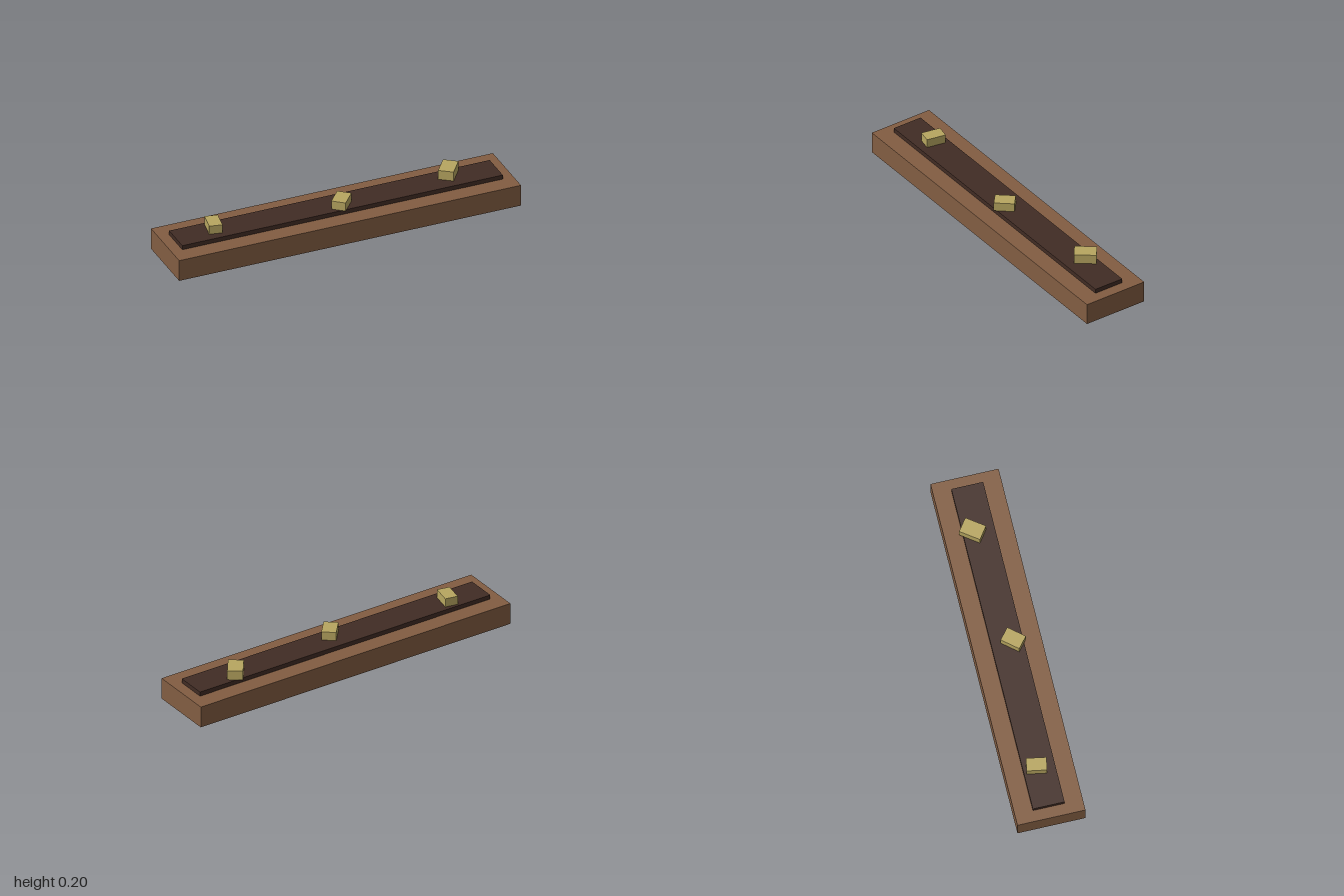
import * as THREE from 'three';

const wood = new THREE.MeshStandardMaterial({ color: 0x825d42, side: THREE.DoubleSide });
wood.name = 'brown wood';
const soil = new THREE.MeshStandardMaterial({ color: 0x412c24 });
soil.name = 'dark brown';
const straw = new THREE.MeshStandardMaterial({ color: 0xb7a660 });
straw.name = 'straw yellow';

// Box standing on height y
function addBox(parent, name, material, [w, h, d], [x, y, z], turn = 0) {
  const mesh = new THREE.Mesh(new THREE.BoxGeometry(w, h, d), material);
  mesh.name = name;
  mesh.position.set(x, y + h / 2, z);
  mesh.rotation.y = turn;
  parent.add(mesh);
  return mesh;
}

export function createModel() {
  const model = new THREE.Group();
  model.name = 'trough';

  // Hollow shell, open underneath: drop the bottom face (fourth of six)
  const shell = addBox(model, 'shell', wood, [2, 0.125, 0.375], [0, 0, 0]);
  const index = Array.from(shell.geometry.index.array);
  index.splice(18, 6);
  shell.geometry.setIndex(index);
  shell.geometry.clearGroups();

  // Raised dark bed
  addBox(model, 'bed', soil, [1.875, 0.025, 0.175], [0, 0.125, 0]);

  // Loose blocks lying on the bed: size, x, z, turn
  const blocks = [
    [[0.073, 0.05, 0.11], -0.711, -0.013, -0.18],
    [[0.08, 0.05, 0.112], 0.017, 0.033, -0.7],
    [[0.085, 0.055, 0.121], 0.672, -0.034, -0.63],
  ];
  blocks.forEach(([size, x, z, turn], i) =>
    addBox(model, `block${i + 1}`, straw, size, [x, 0.15, z], turn));

  return model;
}
